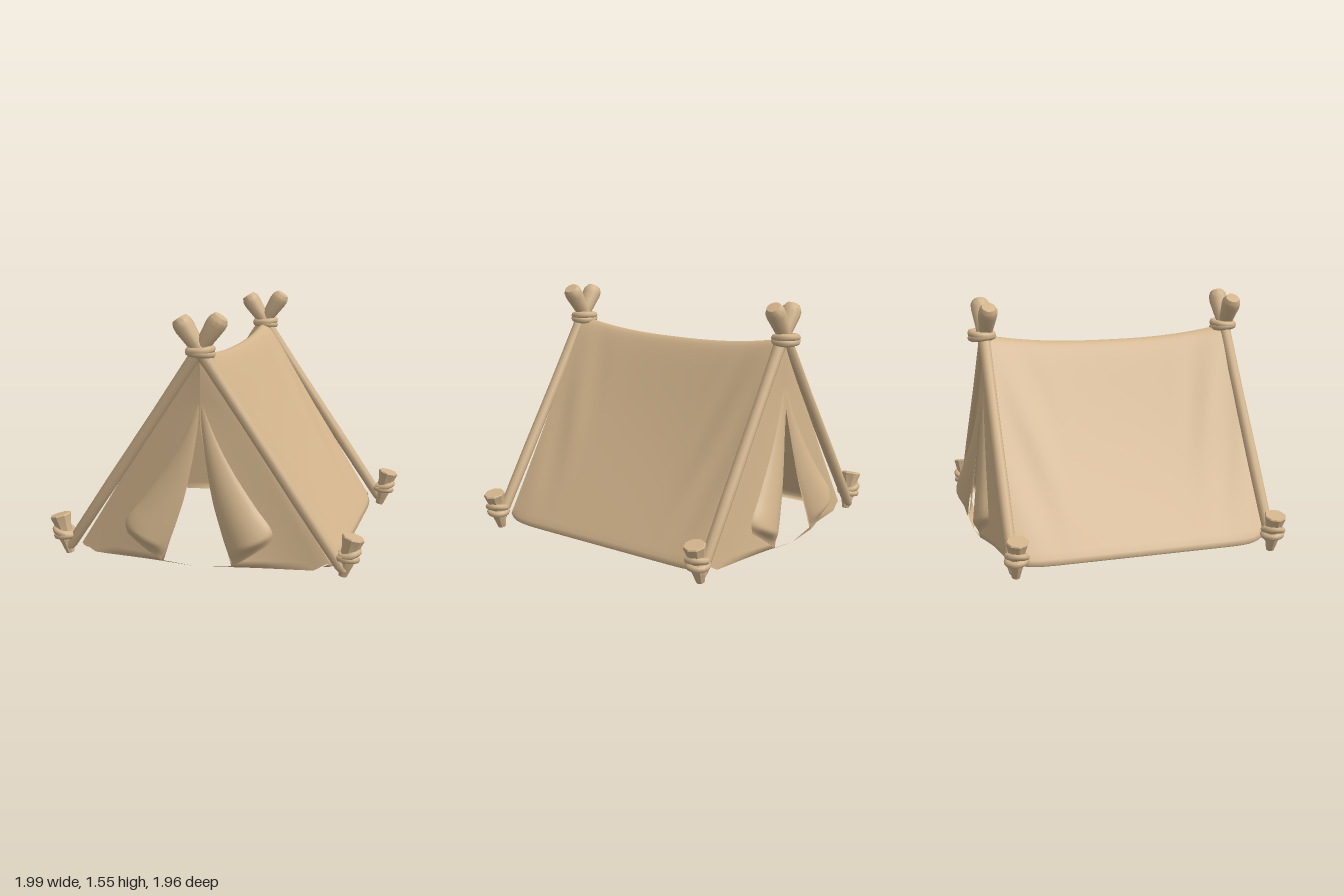
import * as THREE from 'three';
import { toCreasedNormals } from 'three/addons/utils/BufferGeometryUtils.js';

const tan = new THREE.MeshStandardMaterial({ color: 0xd2b48c, side: THREE.DoubleSide });
tan.name = 'tan canvas';

const V = (x, y, z) => new THREE.Vector3(x, y, z);
const { lerp, clamp, smoothstep } = THREE.MathUtils;

function add(parent, geometry, name) {
  const mesh = new THREE.Mesh(geometry, tan);
  mesh.name = name;
  parent.add(mesh);
  return mesh;
}

// Smooth sheet from a rule point(u, v), with u and v from 0 to 1
function sheet(nu, nv, point, flip) {
  const pos = [], idx = [];
  for (let j = 0; j <= nv; j++)
    for (let i = 0; i <= nu; i++) pos.push(...point(i / nu, j / nv).toArray());
  for (let j = 0; j < nv; j++)
    for (let i = 0; i < nu; i++) {
      const a = j * (nu + 1) + i, b = a + 1, c = a + nu + 1, d = c + 1;
      if (flip) idx.push(a, c, b, b, c, d);
      else idx.push(a, b, c, b, d, c);
    }
  const g = new THREE.BufferGeometry();
  g.setAttribute('position', new THREE.Float32BufferAttribute(pos, 3));
  g.setIndex(idx);
  g.computeVertexNormals();
  return g;
}

// Turned part whose axis runs from a to b; profile holds [radius, fraction of length]
function turned(a, b, profile, sides, crease) {
  const dir = b.clone().sub(a), len = dir.length();
  const pts = profile.map(([r, t]) => new THREE.Vector2(r, t * len));
  const g = new THREE.LatheGeometry(pts, sides);
  g.applyQuaternion(new THREE.Quaternion().setFromUnitVectors(V(0, 1, 0), dir.normalize()));
  g.translate(a.x, a.y, a.z);
  return toCreasedNormals(g, crease);
}

const END = 0.805; // half length of the cover

// Sagging cover: s runs from ridge (0) to hem (1), w from back (-1) to front (1)
function coverPoint(side, s, w) {
  const aw = Math.abs(w), ends = aw ** 8;
  const ridge = 1.26 + 0.065 * aw ** 2.5;
  const x0 = 0.825 * (s - 0.025 * aw ** 16 * s ** 8), r = 0.055; // rounded hem corners
  const drop = (Math.hypot(x0, r) - r) / (Math.hypot(0.825, r) - r);
  const bow = (0.015 + 0.03 * (1 - w * w)) * Math.sin(Math.PI * s);
  // soft creases fanning out of the corners
  const crease = 0.01 * Math.sin(9 * s + 14 * aw) * smoothstep(aw, 0.45, 0.8)
    * (1 - ends) * Math.sin(Math.PI * s);
  return V(side * (x0 - bow - 0.012 * ends * s + crease), lerp(ridge, 0.045, drop), w * END);
}

// Inner edge of a door panel: closed seam above, opening below
const opening = [[1.4, 0], [0.89, 0], [0.64, 0.047], [0.43, 0.092], [0.3, 0.132], [0.16, 0.18], [0.09, 0.2], [0.03, 0.22]];
function openingX(y) {
  const i = Math.max(1, opening.findIndex(([h]) => y >= h));
  const [y0, x0] = opening[i - 1], [y1, x1] = opening[i];
  return lerp(x0, x1, (y0 - y) / (y0 - y1));
}

const foldEdge = new THREE.CatmullRomCurve3([
  V(0, 0.92, 0.84), V(0.045, 0.65, 0.868), V(0.091, 0.43, 0.89),
  V(0.132, 0.3, 0.905), V(0.18, 0.16, 0.918), V(0.225, 0.05, 0.92)]);
const looseEdge = new THREE.CatmullRomCurve3([
  V(0, 1.04, 0.835), V(0.1, 0.81, 0.852), V(0.215, 0.61, 0.87),
  V(0.355, 0.415, 0.89), V(0.46, 0.275, 0.905), V(0.452, 0.205, 0.905)]);

export function createModel() {
  const tent = new THREE.Group();
  tent.name = 'tent';

  // Cover over the ridge with hems curled inward
  add(tent, sheet(80, 48, (u, v) => {
    const t = (u * 2 - 1) * 1.06, side = Math.sign(t) || 1;
    const curl = clamp((Math.abs(t) - 1) / 0.06, 0, 1);
    const p = coverPoint(side, Math.min(1, Math.abs(t)), 1 - v * 2);
    p.x -= side * 0.05 * curl;
    p.y -= 0.02 * Math.sin(curl * Math.PI * 0.6);
    return p;
  }, true), 'cover');

  for (const end of [1, -1]) {
    const endName = end > 0 ? 'front' : 'back';
    const poleZ = end > 0 ? 0.825 : -0.835;

    for (const side of [1, -1]) {
      const flip = side * end > 0;
      const name = endName + (side > 0 ? 'Left' : 'Right');

      // Door panel from the cover edge to the opening, flaring outward at the foot
      add(tent, sheet(18, 36, (u, v) => {
        const p = coverPoint(1, v, 1);
        const y = lerp(p.y, 0.028, smoothstep(u, 0, 0.2) * v ** 10);
        const x = lerp(p.x, Math.min(p.x, openingX(y)), u);
        const z = p.z + 0.033 * Math.sqrt(u) + 0.085 * u * u * (1 - Math.min(1, y));
        return V(side * x, y, end * z);
      }, flip), name + 'DoorPanel');

      // Door flap folded back outward, with a pillowy bulge
      add(tent, sheet(16, 32, (u, v) => {
        const p = foldEdge.getPoint(v).lerp(looseEdge.getPoint(v), u);
        const tuck = 1 - 0.7 * smoothstep(v, 0.84, 1);
        p.z += 0.066 * Math.sin(Math.PI * u ** 1.1) ** 0.7 * Math.min(1, v * 1.2) * tuck;
        return V(side * p.x, p.y, end * p.z);
      }, !flip), name + 'DoorFlap');

      // Crossed pole, swelling above the lashing
      const z = poleZ + side * 0.006;
      const topZ = (end > 0 ? 0.835 : -0.815) + side * 0.006;
      const top = side > 0 ? V(-0.125, 1.52, topZ) : V(0.13, 1.535, topZ);
      add(tent, turned(V(side * 0.885, 0.035, z), top, [
        [0, 0], [0.025, 0.004], [0.034, 0.03], [0.037, 0.3], [0.035, 0.6], [0.038, 0.82],
        [0.048, 0.9], [0.062, 0.965], [0.06, 0.985], [0.045, 1], [0, 1.002]], 10, 0.7), name + 'Pole');

      // Tapered ground stake
      const stakeZ = end > 0 ? 0.815 : -0.825;
      add(tent, turned(V(side * 0.868, 0.008, stakeZ), V(side * 0.932, 0.258, stakeZ), [
        [0, 0], [0.026, 0.02], [0.036, 0.2], [0.048, 0.4], [0.052, 0.7],
        [0.069, 0.97], [0.064, 1], [0, 1]], 8, 0.5), name + 'Stake');

      // Rope wound around the stake
      for (const [i, y] of [0.125, 0.155].entries()) {
        const rope = add(tent, new THREE.TorusGeometry(0.056, 0.021, 8, 16), name + 'StakeRope');
        rope.position.set(side * (0.896 + i * 0.01), y, stakeZ);
        rope.rotation.set(Math.PI / 2 + (i ? 0.12 : -0.1), side * (i ? 0.25 : -0.1), 0);
      }
    }

    // Lashing around the pole crossing
    for (const [i, y] of [1.315, 1.335].entries()) {
      const lashing = add(tent, new THREE.TorusGeometry(0.068, 0.024, 8, 20), endName + 'Lashing');
      lashing.position.set(0, y, poleZ);
      lashing.rotation.set(Math.PI / 2 + (i ? 0.08 : -0.06), i ? 0.08 : -0.08, 0);
    }
  }
  return tent;
}
